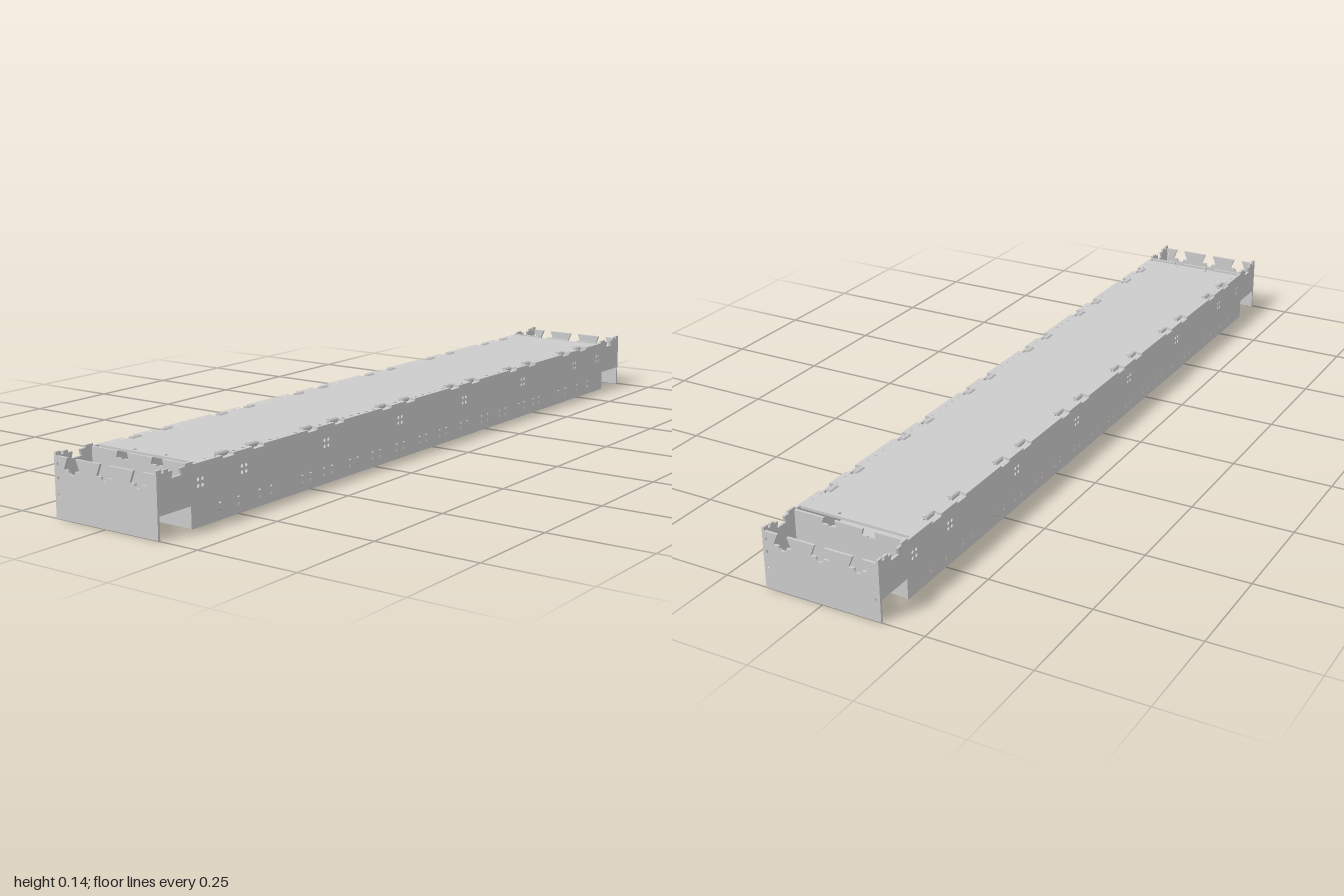
import * as THREE from 'three';

const W = 0.145, T = 0.006, TOP = 0.137, Z_CROSS = 0.89, Z_DECK = 0.875;
const mat = new THREE.MeshStandardMaterial({ color: 0xcccccc, flatShading: true });
const mirrored = list => list.flatMap(v => [-v, v]);

// Dovetail notch with a round relief, as points running along an edge at height h
function notch(c, h, depth, a, b, r) {
  const pts = [[c - a, h], [c - b, h - depth]];
  for (let i = 0; i <= 8; i++) {
    const t = Math.PI * i / 8;
    pts.push([c - r * Math.cos(t), h - depth - r * Math.sin(t)]);
  }
  pts.push([c + b, h - depth], [c + a, h]);
  return pts;
}

// Flat sheet with oval holes given as [x, y, rx, ry]
function sheet(points, holes = []) {
  const shape = new THREE.Shape(points.map(p => new THREE.Vector2(...p)));
  for (const [x, y, rx, ry = rx] of holes) {
    const hole = new THREE.Path();
    hole.absellipse(x, y, rx, ry, 0, Math.PI * 2, true);
    shape.holes.push(hole);
  }
  return new THREE.ExtrudeGeometry(shape, { depth: T, bevelEnabled: false, curveSegments: 4 });
}

export function createModel() {
  const group = new THREE.Group();
  const add = (name, geometry, x = 0, y = 0, z = 0) => {
    const mesh = new THREE.Mesh(geometry, mat);
    mesh.name = name;
    mesh.position.set(x, y, z);
    group.add(mesh);
  };
  const clips = mirrored([0.1, 0.2, 0.39, 0.49, 0.68, 0.78]).sort((a, b) => a - b);

  // Long side walls: stepped ends, toothed end rims, screw holes
  const halfTop = [
    [Z_DECK, TOP - T], [Z_DECK, TOP], [0.892, TOP], [0.892, 0.143], [0.915, 0.143],
    [0.915, TOP], [0.93, TOP], [0.926, 0.122], [0.956, 0.122], [0.952, TOP],
    [0.965, TOP], [0.965, 0.143], [0.978, 0.143], [0.978, TOP], [0.986, TOP], [0.986, 0.145], [1, 0.145],
  ];
  const wallOutline = [
    [-0.9, 0], [-0.9, 0.05], [-1, 0.05],
    ...halfTop.map(([z, y]) => [-z, y]).reverse(), ...halfTop,
    [1, 0.05], [0.9, 0.05], [0.9, 0],
  ];
  const wallHoles = [];
  for (const z of mirrored([0.03, 0.06, 0.13, 0.16, 0.23, 0.26, 0.32, 0.35, 0.42, 0.45, 0.5, 0.53, 0.64, 0.68, 0.75, 0.81]))
    wallHoles.push([z, 0.022, 0.004], [z, 0.036, 0.004]);
  for (const z of mirrored([0.145, 0.44, 0.73, 0.87]))
    for (const dz of [-0.007, 0.007])
      for (const y of [0.088, 0.102]) wallHoles.push([z + dz, y, 0.004]);
  const wall = sheet(wallOutline, wallHoles).rotateY(-Math.PI / 2);
  add('leftSideWall', wall, W);
  add('rightSideWall', wall, -W + T);

  // Deck with dovetail notches and a row of screw holes along both edges
  const edge = [[-Z_DECK, W], ...clips.flatMap(z => notch(z, W, 0.02, 0.018, 0.023, 0.006)), [Z_DECK, W]];
  const deckOutline = [...edge.map(([s, h]) => [h, -s]), ...edge.map(([s, h]) => [-h, s])];
  const deckHoles = [];
  for (let i = -28; i <= 28; i++) {
    const z = i * 0.03;
    if (clips.every(c => Math.abs(c - z) > 0.029)) deckHoles.push([-0.134, z, 0.004], [0.134, z, 0.004]);
  }
  for (const x of [-0.045, 0.045])
    for (const z of [-0.862, 0.862]) deckHoles.push([x, z, 0.004]);
  add('deck', sheet(deckOutline, deckHoles).rotateX(-Math.PI / 2), 0, TOP - T, 0);

  // Rounded clips seated in the deck notches
  const clip = new THREE.CylinderGeometry(0.007, 0.007, 0.03, 10).rotateX(Math.PI / 2);
  for (const z of clips)
    for (const s of [-1, 1]) add('deckClip', clip, s * 0.123, 0.135, z);

  // Recessed floor panel
  add('floorPanel', new THREE.BoxGeometry(2 * (W - T), T, 2 * Z_DECK), 0, 0.031, 0);

  // End plates with three dovetail notches and corner slots
  const endHoles = [];
  for (const s of [-1, 1])
    endHoles.push([s * 0.135, 0.12, 0.002, 0.004], [s * 0.135, 0.09, 0.002, 0.004], [s * 0.135, 0.052, 0.002, 0.004]);
  const endOutline = [
    [-W, 0], [-W, TOP],
    ...[-0.094, 0, 0.094].flatMap(x => notch(x, TOP, 0.027, 0.012, 0.023, 0.01)),
    [W, TOP], [W, 0],
  ];
  const endPlate = sheet(endOutline, endHoles);
  add('frontEndPlate', endPlate, 0, 0, 1 - T);
  add('backEndPlate', endPlate, 0, 0, -1);

  // Cross walls closing the tray, with offset notches in the rim
  const w = W - T;
  const crossOutline = [
    [-w, 0], [-w, TOP],
    ...[-0.05, 0.05].flatMap(x => notch(x, TOP, 0.015, 0.014, 0.018, 0.004)),
    [w, TOP], [w, 0],
  ];
  const crossWall = sheet(crossOutline);
  add('frontCrossWall', crossWall, 0, 0, Z_CROSS);
  add('backCrossWall', crossWall, 0, 0, -Z_CROSS - T);

  return group;
}
